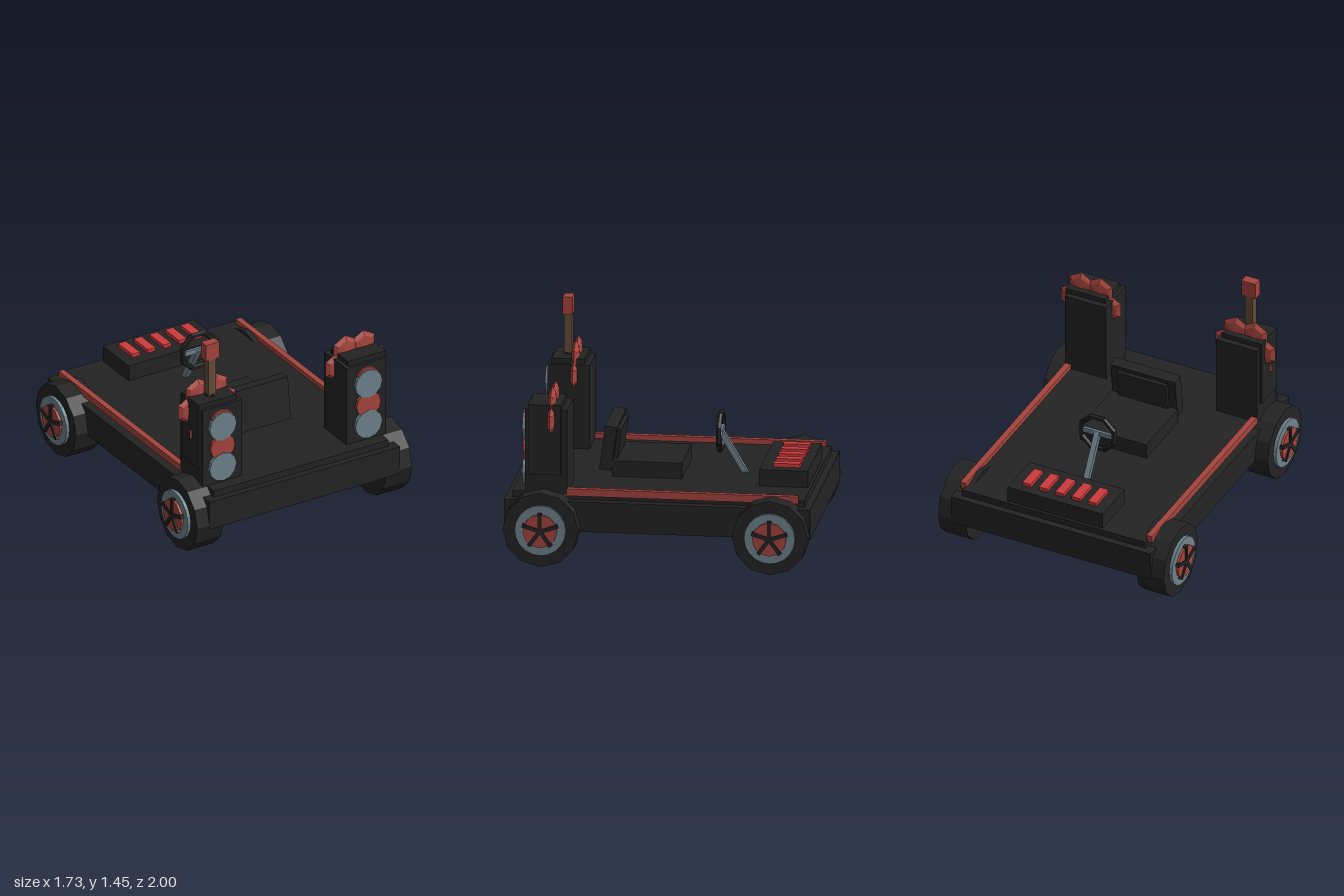
import * as THREE from 'three';

const material = (name, color) => {
  const m = new THREE.MeshStandardMaterial({ color });
  m.name = name;
  return m;
};

export function createModel() {
  const black = material('black', 0x232323);
  const red = material('dull red', 0xa5443d);
  const bright = material('bright red', 0xcc3a3c);
  const steel = material('blue grey', 0x6e828c);
  const wood = material('brown', 0x644c38);

  const model = new THREE.Group();
  model.name = 'cart';

  // Faceted mesh: every face gets its own normal
  const add = (parent, name, geometry, mat, x = 0, y = 0, z = 0) => {
    const g = geometry.index ? geometry.toNonIndexed() : geometry;
    g.computeVertexNormals();
    const mesh = new THREE.Mesh(g, mat);
    mesh.name = name;
    mesh.position.set(x, y, z);
    parent.add(mesh);
    return mesh;
  };
  // Box given by its limits on each axis
  const box = (parent, name, mat, x0, x1, y0, y1, z0, z1) =>
    add(parent, name, new THREE.BoxGeometry(Math.abs(x1 - x0), y1 - y0, z1 - z0), mat,
      (x0 + x1) / 2, (y0 + y1) / 2, (z0 + z1) / 2);
  const group = (name) => {
    const g = new THREE.Group();
    g.name = name;
    model.add(g);
    return g;
  };

  // Chassis and deck
  box(model, 'chassis', black, -0.725, 0.725, 0.22, 0.42, -1, 1);
  box(model, 'deck', black, -0.665, 0.665, 0.42, 0.465, -0.955, 0.955);

  // Wheels: tyre, rim, hub and five-spoke star
  const wheel = (side, z) => {
    const g = group((side > 0 ? 'left' : 'right') + (z > 0 ? 'FrontWheel' : 'RearWheel'));
    g.position.set(0, 0.248, z);
    const disc = (name, mat, r, x0, x1, n) =>
      add(g, name, new THREE.CylinderGeometry(r, r, x1 - x0, n).rotateZ(Math.PI / 2), mat,
        side * (x0 + x1) / 2);
    disc('tyre', black, 0.248, 0.62, 0.818, 12);
    disc('rim', steel, 0.167, 0.8, 0.84, 20);
    disc('hub', red, 0.112, 0.82, 0.857, 12);
    for (let i = 0; i < 5; i++) {
      const spoke = new THREE.BoxGeometry(0.026, 0.122, 0.026).translate(0, 0.061, 0);
      add(g, 'spoke', spoke.rotateX(i * Math.PI * 2 / 5), black, side * 0.852);
    }
  };

  // Pointed hexagonal gem, thin from front to back
  const gem = (parent, x, y, z, r = 0.102) =>
    add(parent, 'gem', new THREE.SphereGeometry(r, 6, 4).rotateX(Math.PI / 2)
      .rotateZ(Math.PI / 2).scale(1, 1, 0.27), red, x, y, z);

  for (const side of [1, -1]) {
    wheel(side, 0.75);
    wheel(side, -0.75);
    box(model, 'sideRail', red, side * 0.655, side * 0.695, 0.45, 0.498, -0.92, 0.62);

    // Light tower with raised inner block
    const tower = group(side > 0 ? 'leftTower' : 'rightTower');
    box(tower, 'towerBody', black, side * 0.398, side * 0.697, 0.46, 1.025, 0.592, 0.868);
    box(tower, 'towerCore', black, side * 0.425, side * 0.712, 0.59, 1.06, 0.63, 0.845);
    const lamps = [[0.91, red, 0.09, 0.87], [0.882, steel, 0.102, 0.88],
      [0.73, red, 0.092, 0.877], [0.585, steel, 0.102, 0.88]];
    for (const [y, mat, r, z] of lamps) {
      add(tower, 'lamp', new THREE.CylinderGeometry(r, r, 0.024, 12).rotateX(Math.PI / 2),
        mat, side * 0.555, y, z);
    }
    for (const [x, y] of [[0.63, 1.065], [0.493, 1.065], [0.69, 0.955], [0.432, 0.955]]) {
      gem(tower, side * x, y, 0.697);
    }
  }
  gem(model, -0.675, 0.8, 0.75, 0.058);

  // Lever standing on the right tower
  const lever = group('lever');
  add(lever, 'leverSocket', new THREE.CylinderGeometry(0.035, 0.04, 0.025, 8), black, -0.57, 1.06, 0.752);
  box(lever, 'leverShaft', wood, -0.598, -0.542, 1.03, 1.34, 0.726, 0.78);
  box(lever, 'leverHead', red, -0.62, -0.518, 1.33, 1.447, 0.722, 0.785);

  // Seat, facing the rear console
  const seat = group('seat');
  box(seat, 'seatBase', black, -0.24, 0.24, 0.46, 0.57, -0.097, 0.36);
  const back = new THREE.Group();
  back.name = 'seatBack';
  back.position.set(0, 0.505, 0.405);
  back.rotation.x = -0.125;
  seat.add(back);
  box(back, 'backPanel', black, -0.235, 0.235, 0, 0.295, -0.04, 0.04);
  box(back, 'backPad', black, -0.178, 0.178, 0.04, 0.267, -0.065, -0.03);

  // Console with five buttons
  const consoleGroup = group('console');
  box(consoleGroup, 'consoleBox', black, -0.345, 0.345, 0.46, 0.575, -0.935, -0.617);
  for (let i = -2; i <= 2; i++) {
    box(consoleGroup, 'button', bright, i * 0.119 - 0.03, i * 0.119 + 0.03, 0.57, 0.6, -0.875, -0.7);
  }

  // Steering wheel on a sloping column
  const steering = group('steering');
  const ring = new THREE.TorusGeometry(0.126, 0.019, 6, 8).rotateZ(Math.PI / 8);
  add(steering, 'steeringWheel', ring, black, 0, 0.73, -0.32);
  box(steering, 'crossBar', steel, -0.12, 0.12, 0.713, 0.747, -0.332, -0.312);
  const column = add(steering, 'steeringColumn', new THREE.BoxGeometry(0.038, 0.33, 0.036), steel, 0, 0.595, -0.402);
  column.rotation.x = 0.53;

  return model;
}
